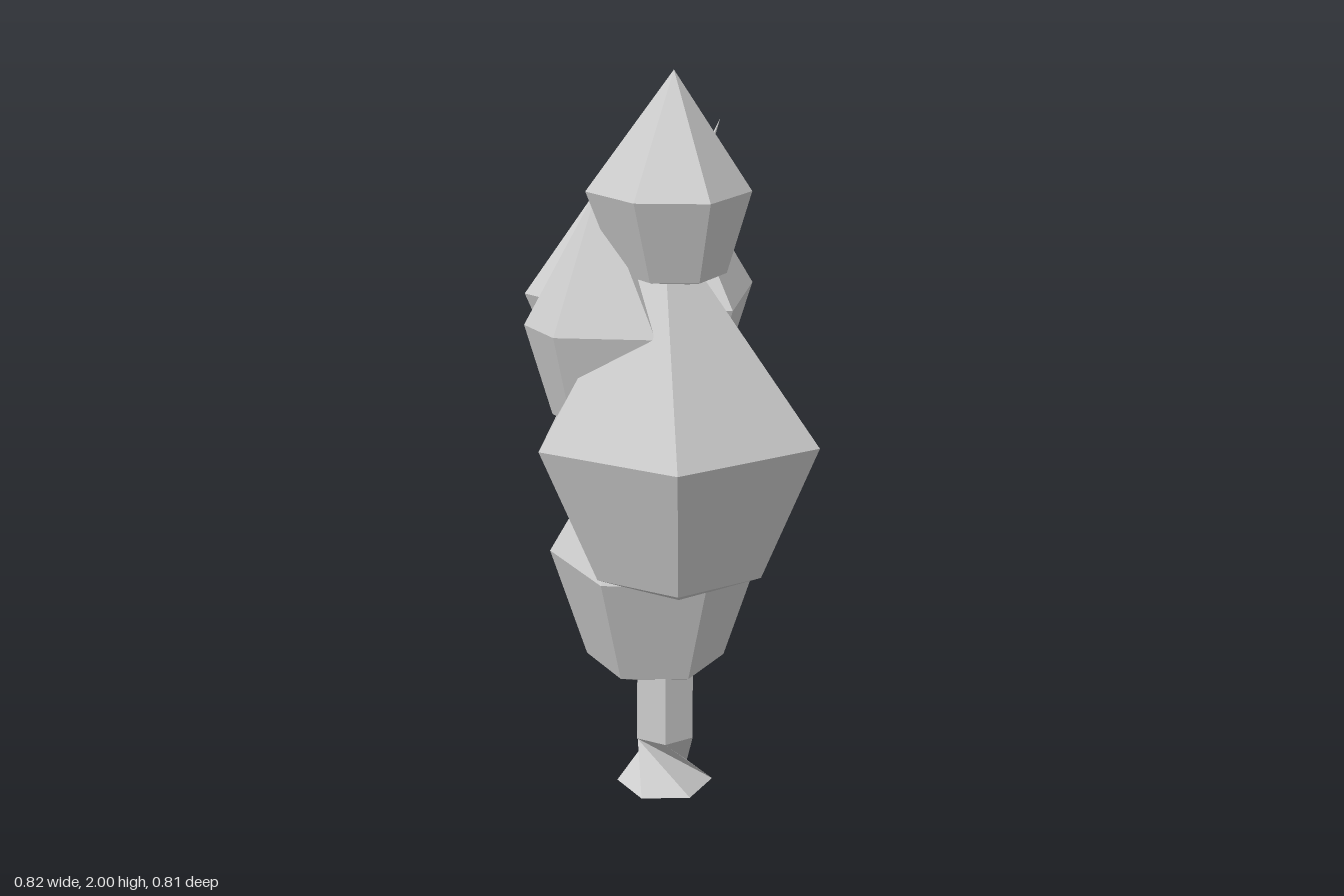
import * as THREE from 'three';

const material = new THREE.MeshStandardMaterial({ color: 0xcccccc, flatShading: true, side: THREE.DoubleSide });
material.name = 'plainGrey';

// Skin between stacked six-point rings; a ring holding one point is a pole.
function loft(name, rings) {
  const pos = [];
  const tri = (a, b, c) => pos.push(...a, ...b, ...c);
  for (let r = 0; r < rings.length - 1; r++) {
    const lo = rings[r], hi = rings[r + 1];
    for (let k = 0; k < 6; k++) {
      const a = lo[k % lo.length], b = lo[(k + 1) % lo.length];
      const c = hi[k % hi.length], d = hi[(k + 1) % hi.length];
      if (lo.length > 1) tri(a, d, b);
      if (hi.length > 1) tri(a, c, d);
    }
  }
  const g = new THREE.BufferGeometry();
  g.setAttribute('position', new THREE.Float32BufferAttribute(pos, 3));
  g.computeVertexNormals();
  const mesh = new THREE.Mesh(g, material);
  mesh.name = name;
  return mesh;
}

// Foliage clump: pole, shrunken lower ring, widest ring, pointed top.
function clump({ name, ring, y, lowY, scale, bottom, top }) {
  const wide = ring.map(([x, z]) => [x, y, z]);
  const low = ring.map(([x, z]) => [
    bottom[0] + (x - bottom[0]) * scale, lowY, bottom[2] + (z - bottom[2]) * scale]);
  return loft(name, [[bottom], low, wide, [top]]);
}

// Regular trunk ring, turned by an angle in degrees
const hexRing = (x, y, z, radius, turn) => Array.from({ length: 6 }, (_, k) => {
  const a = (turn + 60 * k) * Math.PI / 180;
  return [x + radius * Math.cos(a), y, z + radius * Math.sin(a)];
});

const clumps = [
  { name: 'frontFoliage', y: 1.06, lowY: 0.69, scale: 0.6, bottom: [0.04, 0.6, 0.1], top: [-0.01, 1.63, 0.09],
    ring: [[0.41, 0.025], [0.2, 0.405], [-0.21, 0.39], [-0.34, 0.1], [-0.16, -0.25], [0.155, -0.24]] },
  { name: 'backFoliage', y: 1.4, lowY: 1.08, scale: 0.62, bottom: [-0.14, 1.0, -0.09], top: [-0.16, 1.87, -0.12],
    ring: [[0.17, 0.05], [-0.13, 0.22], [-0.415, 0.12], [-0.405, -0.19], [-0.22, -0.385], [0.055, -0.3]] },
  { name: 'sideFoliage', y: 1.35, lowY: 1.11, scale: 0.65, bottom: [-0.16, 1.06, 0.16], top: [-0.18, 1.7, 0.13],
    ring: [[0.05, 0.24], [-0.19, 0.34], [-0.335, 0.25], [-0.27, 0.07], [-0.12, 0.02], [0.03, 0.08]] },
  { name: 'lowerFoliage', y: 0.66, lowY: 0.35, scale: 0.66, bottom: [-0.13, 0.26, -0.07], top: [-0.12, 1.2, -0.1],
    ring: [[0.13, 0.11], [-0.12, 0.24], [-0.385, 0.07], [-0.395, -0.27], [-0.115, -0.405], [0.14, -0.195]] },
  { name: 'topFoliage', y: 1.7, lowY: 1.49, scale: 0.66, bottom: [0.03, 1.46, 0.08], top: [0, 2, 0.05],
    ring: [[0.19, 0.215], [0.02, 0.295], [-0.18, 0.19], [-0.11, -0.03], [0.075, -0.11], [0.19, -0.015]] },
];

export function createModel() {
  const tree = new THREE.Group();
  tree.name = 'tree';
  clumps.forEach((c) => tree.add(clump(c)));

  // Trunk with a twisted, flared foot
  tree.add(loft('trunkFoot', [[[-0.06, 0, 0]], hexRing(-0.06, 0, 0, 0.135, -90), hexRing(-0.06, 0.15, 0, 0.09, 0)]));
  tree.add(loft('trunk', [hexRing(-0.06, 0.15, 0, 0.09, 0), hexRing(-0.055, 0.7, 0, 0.085, 0), [[-0.05, 0.75, 0]]]));

  // Twig tip beside the top clump
  tree.add(loft('twig', [hexRing(0.01, 1.7, -0.04, 0.02, 0), [[0.065, 1.87, -0.08]]]));
  return tree;
}
